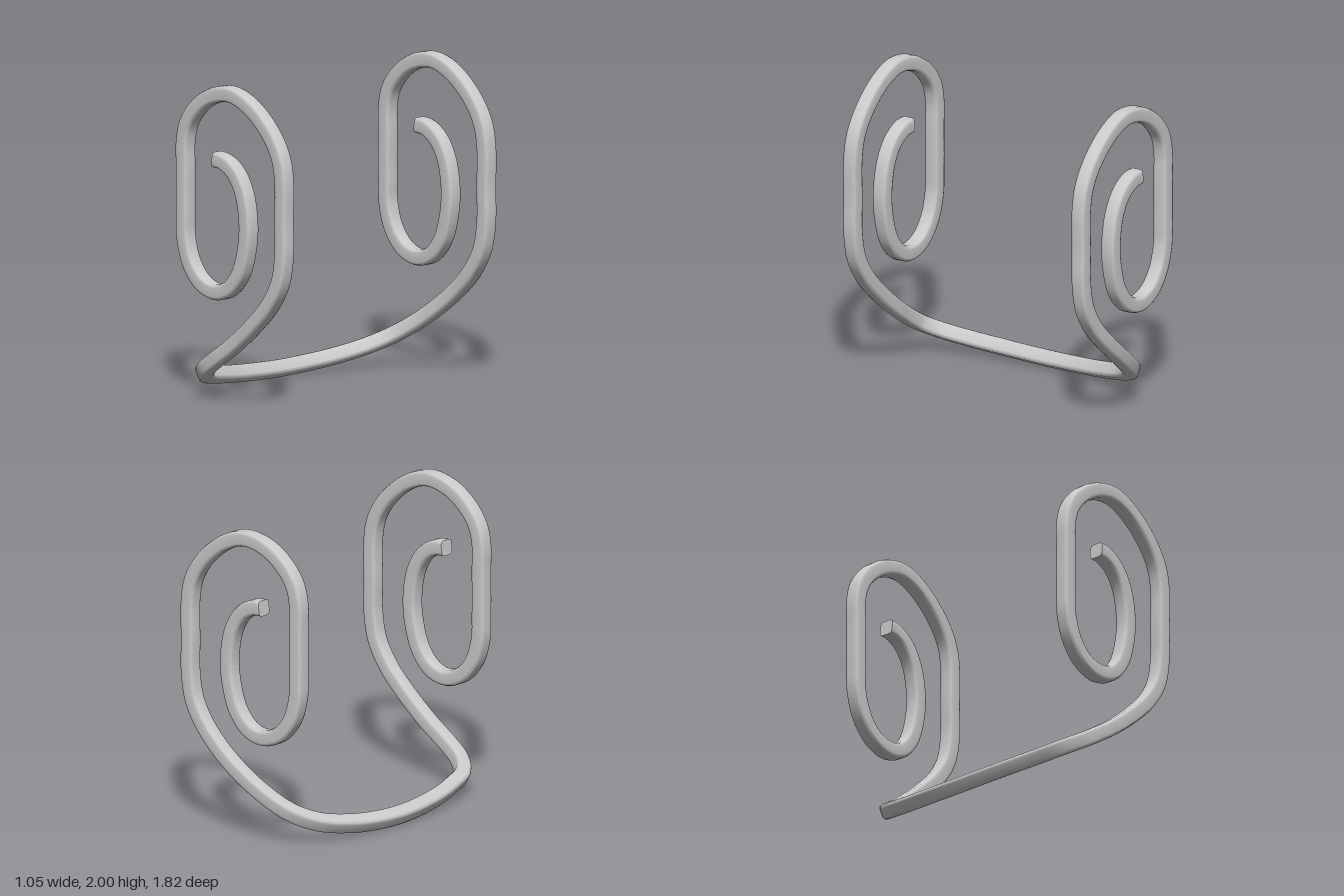
import * as THREE from 'three';

const HALF = 0.049;   // half thickness of the bar
const ROUND = 0.022;  // edge rounding of the bar
const SIDE_Z = 0.858; // distance of each scroll from the middle
const STEPS = 420;

// Scroll from its inner tip, round the loop and down to the foot (x, y)
const scroll = [
  [-0.13, 1.527], [-0.06, 1.52], [0.04, 1.46], [0.115, 1.34], [0.15, 1.15],
  [0.135, 0.99], [0.083, 0.835], [-0.01, 0.73], [-0.13, 0.695], [-0.26, 0.735],
  [-0.36, 0.845], [-0.41, 1.0], [-0.415, 1.15], [-0.415, 1.45], [-0.415, 1.6],
  [-0.385, 1.72], [-0.3, 1.83], [-0.16, 1.92], [0.01, 1.95], [0.18, 1.89],
  [0.35, 1.75], [0.44, 1.61], [0.47, 1.47], [0.47, 1.2], [0.47, 1.0],
  [0.435, 0.82], [0.34, 0.665],
];

// Sloping foot joining the front scroll to the back one (x, y, z)
const foot = [
  [0.2, 0.525, SIDE_Z], [0.02, 0.378, SIDE_Z], [-0.14, 0.268, SIDE_Z],
  [-0.25, 0.197, 0.838], [-0.345, 0.14, 0.755], [-0.395, 0.108, 0.6],
  [-0.445, 0.079, 0.36], [-0.468, 0.063, 0.05], [-0.455, 0.071, -0.2],
  [-0.42, 0.092, -0.4], [-0.355, 0.135, -0.6], [-0.25, 0.203, -0.735],
  [-0.1, 0.3, -0.805], [0.06, 0.415, -0.843], [0.2, 0.527, -0.857],
];

// Rounded square cross-section, counter-clockwise
function barSection() {
  const pts = [];
  const c = HALF - ROUND;
  for (let k = 0; k < 4; k++) {
    const mid = Math.PI / 4 + k * Math.PI / 2;
    const cx = Math.sign(Math.cos(mid)) * c, cy = Math.sign(Math.sin(mid)) * c;
    for (let s = -1; s <= 1; s++) {
      const a = mid + s * Math.PI / 4;
      pts.push([cx + ROUND * Math.cos(a), cy + ROUND * Math.sin(a)]);
    }
  }
  return pts;
}

// Sweep the section along the path, keeping it square to the scroll planes
function sweep(path, section) {
  const rings = [];
  const n = new THREE.Vector3(0, 1, 0);
  for (let i = 0; i <= STEPS; i++) {
    const p = path.getPointAt(i / STEPS);
    const t = path.getTangentAt(i / STEPS);
    n.addScaledVector(t, -n.dot(t)).normalize();
    const level = new THREE.Vector3(-t.y, t.x, 0);
    n.addScaledVector(level, 0.15 * Math.sign(n.dot(level)));
    n.addScaledVector(t, -n.dot(t)).normalize();
    const b = new THREE.Vector3().crossVectors(t, n);
    rings.push(section.map(([u, v]) =>
      p.clone().addScaledVector(n, u).addScaledVector(b, v)));
  }
  return rings;
}

function geometryFrom(points, index) {
  const g = new THREE.BufferGeometry().setFromPoints(points);
  g.setIndex(index);
  g.computeVertexNormals();
  return g;
}

function skin(rings) {
  const m = rings[0].length, index = [];
  for (let i = 0; i < rings.length - 1; i++) {
    for (let j = 0; j < m; j++) {
      const a = i * m + j, b = i * m + (j + 1) % m;
      index.push(a, b, b + m, a, b + m, a + m);
    }
  }
  return geometryFrom(rings.flat(), index);
}

// Flat end of the bar
function cap(ring) {
  const index = [];
  for (let j = 1; j < ring.length - 1; j++) index.push(0, j, j + 1);
  return geometryFrom(ring, index);
}

export function createModel() {
  const group = new THREE.Group();
  group.name = 'scrollStand';
  const material = new THREE.MeshStandardMaterial({ color: 0xcccccc });
  const add = (name, geometry) => {
    const mesh = new THREE.Mesh(geometry, material);
    mesh.name = name;
    group.add(mesh);
  };

  const side = (z) => scroll.map(([x, y]) => new THREE.Vector3(x, y, z));
  const path = new THREE.CatmullRomCurve3([
    ...side(SIDE_Z),
    ...foot.map((p) => new THREE.Vector3(...p)),
    ...side(-SIDE_Z).reverse(),
  ]);
  path.arcLengthDivisions = 1500;

  const rings = sweep(path, barSection());
  add('bentBar', skin(rings));
  add('frontBarEnd', cap([...rings[0]].reverse()));
  add('backBarEnd', cap(rings[STEPS]));
  return group;
}
